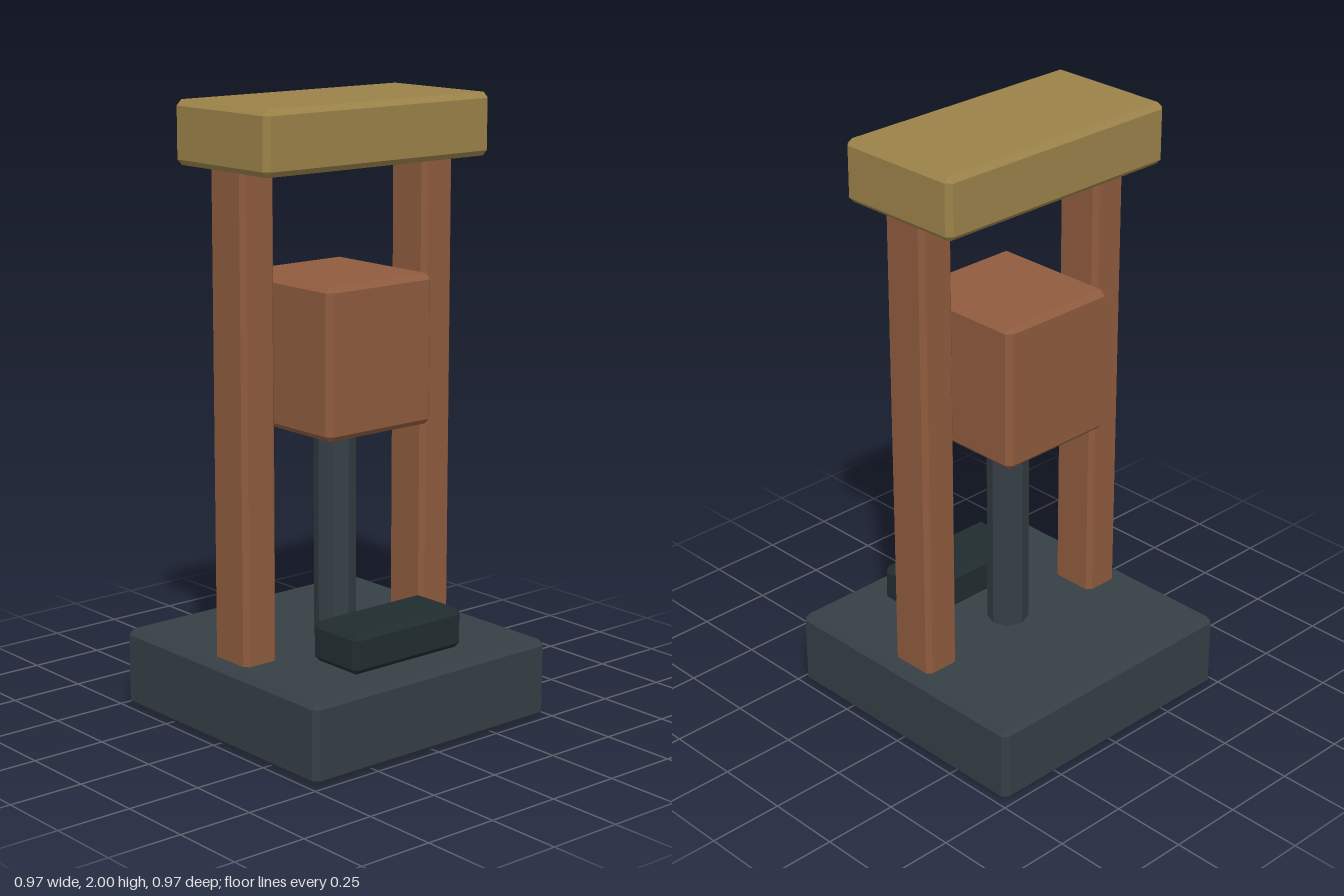
import * as THREE from 'three';
import { ConvexGeometry } from 'three/addons/geometries/ConvexGeometry.js';

const material = (color) => new THREE.MeshStandardMaterial({ color, flatShading: true });

// Box centred on its origin with every edge cut at 45 degrees
function chamferBox(w, h, d, c = 0.018) {
  const points = [];
  for (const sx of [-1, 1]) for (const sy of [-1, 1]) for (const sz of [-1, 1]) {
    const x = w / 2, y = h / 2, z = d / 2;
    points.push(
      new THREE.Vector3(sx * x, sy * (y - c), sz * (z - c)),
      new THREE.Vector3(sx * (x - c), sy * y, sz * (z - c)),
      new THREE.Vector3(sx * (x - c), sy * (y - c), sz * z)
    );
  }
  return new ConvexGeometry(points);
}

export function createModel() {
  const model = new THREE.Group();
  model.name = 'press';

  const slate = material(0x353f45);
  const darkSlate = material(0x212c2f);
  const wood = material(0x8f5b3e);
  const brass = material(0x9b8249);

  const add = (name, geometry, mat, x, y, z) => {
    const mesh = new THREE.Mesh(geometry, mat);
    mesh.name = name;
    mesh.position.set(x, y, z);
    model.add(mesh);
  };

  // Base plate and the pedal resting on its front
  add('base', chamferBox(0.968, 0.26, 0.968), slate, 0, 0.13, 0);
  add('pedal', chamferBox(0.452, 0.13, 0.212), darkSlate, 0, 0.325, 0.259);

  // Two posts, set slightly into the base and the top beam
  for (const side of [-1, 1]) {
    const name = side > 0 ? 'leftPost' : 'rightPost';
    add(name, chamferBox(0.128, 1.58, 0.164, 0.015), wood, side * 0.366, 1.03, 0);
  }
  add('topBeam', chamferBox(0.904, 0.2, 0.452), brass, 0, 1.9, 0);

  // Octagonal rod carrying the hammer block
  add('rod', new THREE.CylinderGeometry(0.068, 0.068, 0.76, 8), slate, 0, 0.62, 0);
  add('hammerBlock', chamferBox(0.428, 0.482, 0.452), wood, 0, 1.21, 0);

  return model;
}
